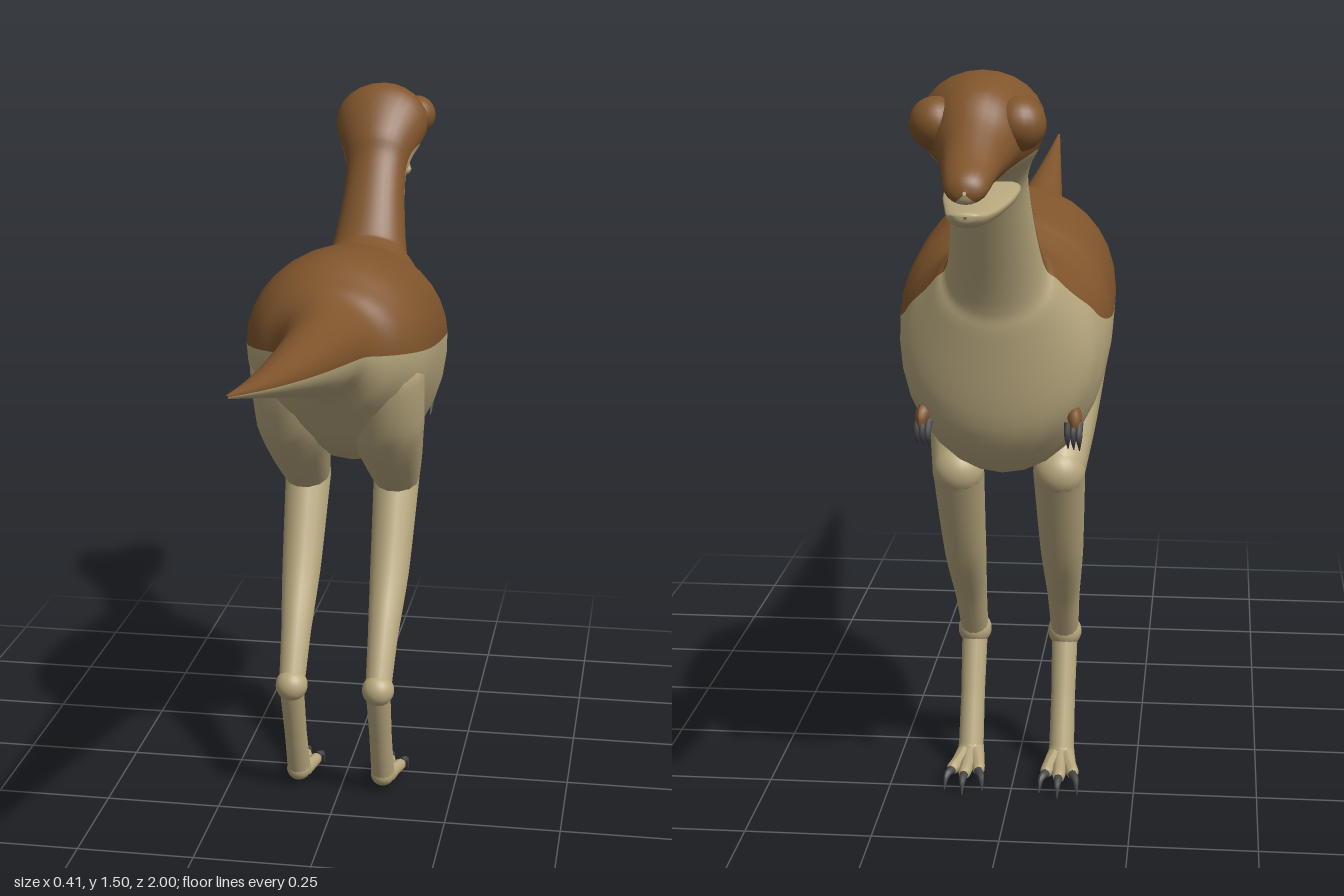
import * as THREE from 'three';

const mat = (name, color) => Object.assign(new THREE.MeshStandardMaterial({ color }), { name });

// Catmull-Rom blend of whole rows of numbers
function smoothRows(rows, steps) {
  const out = [];
  for (let i = 0; i < rows.length - 1; i++) {
    const a = rows[Math.max(i - 1, 0)], b = rows[i], c = rows[i + 1], d = rows[Math.min(i + 2, rows.length - 1)];
    for (let k = 0; k < steps; k++) {
      const t = k / steps;
      out.push(b.map((p, j) => p + 0.5 * t * (c[j] - a[j] + t * (2 * a[j] - 5 * p + 4 * c[j] - d[j] + t * (3 * (p - c[j]) + d[j] - a[j])))));
    }
  }
  out.push(rows[rows.length - 1]);
  return out;
}

// Skin over sections [topZ, topY, bottomZ, bottomY, halfWidth, colour split 0..1, widest height 0..1]
function loft(name, sections, upperMat, lowerMat, half = 16) {
  const rows = smoothRows(sections, 5), n = half * 2, pos = [], idx = [];
  for (const [tz, ty, bz, by, hw, split, wide] of rows) {
    const s = (split - wide) / (split > wide ? 1 - wide : wide);
    const a = Math.asin(THREE.MathUtils.clamp(s, -0.98, 0.98));
    for (let j = 0; j < n; j++) {
      const th = j < half
        ? a + (Math.PI - 2 * a) * j / half
        : Math.PI - a + (Math.PI + 2 * a) * (j - half) / half;
      const f = wide + Math.sin(th) * (Math.sin(th) > 0 ? 1 - wide : wide);
      pos.push(Math.cos(th) * hw, by + (ty - by) * f, bz + (tz - bz) * f);
    }
  }
  const g = new THREE.BufferGeometry();
  for (const start of [0, half]) {
    const first = idx.length;
    for (let i = 0; i < rows.length - 1; i++) {
      for (let j = start; j < start + half; j++) {
        const a = i * n + j, b = i * n + (j + 1) % n;
        idx.push(a, a + n, b, b, a + n, b + n);
      }
    }
    g.addGroup(first, idx.length - first, start ? 1 : 0);
  }
  g.setAttribute('position', new THREE.Float32BufferAttribute(pos, 3));
  g.setIndex(idx);
  g.computeVertexNormals();
  const m = new THREE.Mesh(g, [upperMat, lowerMat]);
  m.name = name;
  return m;
}

// Tube whose radius follows the fourth number of each point
function limb(name, pts, material, segs = 24, sides = 14) {
  const curve = new THREE.CatmullRomCurve3(pts.map(p => new THREE.Vector3(p[0], p[1], p[2])), false, 'centripetal');
  const g = new THREE.TubeGeometry(curve, segs, 1, sides);
  const p = g.attributes.position, v = new THREE.Vector3();
  for (let i = 0; i <= segs; i++) {
    const u = i / segs, c = curve.getPointAt(u);
    const t = curve.getUtoTmapping(u) * (pts.length - 1);
    const k = Math.min(Math.floor(t), pts.length - 2);
    const r = THREE.MathUtils.lerp(pts[k][3], pts[k + 1][3], t - k);
    for (let j = 0; j <= sides; j++) {
      const q = i * (sides + 1) + j;
      v.fromBufferAttribute(p, q).sub(c).multiplyScalar(r).add(c);
      p.setXYZ(q, v.x, v.y, v.z);
    }
  }
  g.computeVertexNormals();
  const m = new THREE.Mesh(g, material);
  m.name = name;
  return m;
}

function ball(name, x, y, z, r, material) {
  const m = new THREE.Mesh(new THREE.SphereGeometry(r, 24, 16), material);
  m.position.set(x, y, z);
  m.name = name;
  return m;
}

export function createModel() {
  const brown = mat('back brown', 0x80552c);
  const cream = mat('belly cream', 0xb8a87e);
  const dark = mat('claw grey', 0x48484a);
  const model = new THREE.Group();
  model.name = 'bipedalDinosaur';

  // Tail sections taper evenly and lift towards the tip
  const tail = [1, 0.75, 0.5, 0.25, 0].map(t => {
    const z = 0.2 + 0.8 * t;
    return [z, 1.145 + 0.058 * t * t, z, 0.995 + 0.202 * t, 0.071 - 0.068 * t, 0.47, 0.5];
  });

  // Trunk, neck and skull sections, from hips to snout
  const trunk = [
    [0.1, 1.15, 0.1, 0.975, 0.087, 0.45, 0.5],
    [0.05, 1.162, 0.05, 0.945, 0.11, 0.46, 0.48],
    [0, 1.186, 0, 0.895, 0.16, 0.5, 0.5],
    [-0.1, 1.224, -0.1, 0.805, 0.195, 0.54, 0.54],
    [-0.3, 1.207, -0.3, 0.723, 0.203, 0.6, 0.6],
    [-0.36, 1.187, -0.4, 0.715, 0.198, 0.63, 0.58],
    [-0.4, 1.173, -0.47, 0.752, 0.188, 0.65, 0.54],
    [-0.43, 1.172, -0.525, 0.83, 0.17, 0.66, 0.5],
    [-0.475, 1.187, -0.558, 1.0, 0.115, 0.57, 0.48],
    [-0.5, 1.212, -0.572, 1.07, 0.086, 0.52, 0.5],
    [-0.595, 1.345, -0.655, 1.235, 0.068, 0.53, 0.5],
    [-0.625, 1.41, -0.69, 1.29, 0.078, 0.52, 0.5],
    [-0.695, 1.49, -0.72, 1.315, 0.103, 0.3, 0.53],
    [-0.75, 1.5, -0.76, 1.322, 0.102, 0.27, 0.5],
    [-0.83, 1.48, -0.83, 1.326, 0.075, 0.17, 0.45],
    [-0.88, 1.433, -0.88, 1.324, 0.056, 0.14, 0.42],
    [-0.94, 1.388, -0.94, 1.323, 0.044, 0.1, 0.45],
    [-0.98, 1.365, -0.98, 1.312, 0.035, 0.1, 0.45],
    [-0.995, 1.35, -0.995, 1.315, 0.021, 0.1, 0.45],
    [-1, 1.334, -1, 1.328, 0.003, 0.1, 0.45],
  ];
  model.add(loft('body', tail.concat(trunk), brown, cream));

  // Lower jaw, slightly open
  model.add(loft('lowerJaw', [
    [-0.685, 1.312, -0.685, 1.308, 0.02, 0.7, 0.7],
    [-0.7, 1.313, -0.7, 1.286, 0.06, 0.7, 0.7],
    [-0.78, 1.307, -0.78, 1.272, 0.062, 0.7, 0.7],
    [-0.88, 1.299, -0.88, 1.266, 0.047, 0.7, 0.7],
    [-0.96, 1.299, -0.96, 1.27, 0.034, 0.7, 0.7],
    [-0.985, 1.299, -0.985, 1.279, 0.021, 0.7, 0.7],
    [-0.99, 1.293, -0.99, 1.288, 0.003, 0.7, 0.7],
  ], cream, cream, 10));

  for (const s of [1, -1]) {
    // The snout points to -z, so the model's left is -x
    const side = s < 0 ? 'left' : 'right';
    model.add(ball(side + 'Eye', s * 0.069, 1.42, -0.81, 0.045, brown));

    // Leg: thigh, shank, ankle and metatarsus
    const leg = new THREE.Group();
    leg.name = side + 'Leg';
    leg.add(limb('thigh', [
      [s * 0.1, 1.07, -0.07, 0.04], [s * 0.1, 0.99, -0.075, 0.085], [s * 0.098, 0.87, -0.12, 0.083],
      [s * 0.1, 0.77, -0.21, 0.066], [s * 0.1, 0.69, -0.295, 0.05]], cream));
    leg.add(ball('knee', s * 0.099, 0.69, -0.295, 0.051, cream));
    leg.add(limb('shank', [
      [s * 0.099, 0.69, -0.295, 0.051], [s * 0.098, 0.5, -0.198, 0.043],
      [s * 0.096, 0.38, -0.117, 0.033], [s * 0.095, 0.275, -0.055, 0.028]], cream));
    leg.add(ball('ankle', s * 0.095, 0.278, -0.055, 0.035, cream));
    leg.add(limb('metatarsus', [
      [s * 0.095, 0.275, -0.055, 0.027], [s * 0.095, 0.15, -0.1, 0.025], [s * 0.095, 0.045, -0.14, 0.026]], cream));
    leg.add(ball('heel', s * 0.095, 0.043, -0.14, 0.027, cream));
    for (const d of [-1, 0, 1]) {
      const x = s * 0.097 + d * 0.027, z = d ? -0.235 : -0.258;
      leg.add(limb('toe', [
        [s * 0.095 + d * 0.006, 0.038, -0.135, 0.021], [s * 0.095 + d * 0.019, 0.033, -0.19, 0.015],
        [x, 0.03, z + 0.008, 0.013], [x, 0.029, z - 0.006, 0.002]], cream, 12, 10));
      leg.add(limb('toeClaw', [
        [x, 0.032, z, 0.009], [x + d * 0.008, 0.029, z - 0.02, 0.007],
        [x + d * 0.012, 0.002, z - 0.034, 0.001]], dark, 8, 8));
    }
    model.add(leg);

    // Small forelimb with curved claws
    const arm = new THREE.Group();
    arm.name = side + 'Arm';
    arm.add(limb('hand', [
      [s * 0.1, 0.865, -0.44, 0.012], [s * 0.132, 0.862, -0.462, 0.013],
      [s * 0.142, 0.845, -0.49, 0.014], [s * 0.142, 0.822, -0.498, 0.006]], brown, 14, 10));
    for (const d of [-1, 0, 1]) {
      const x = s * 0.14 + d * 0.011;
      arm.add(limb('fingerClaw', [
        [x, 0.838, -0.492, 0.007], [x, 0.812, -0.505 + d * 0.006, 0.006],
        [x, 0.785, -0.485 + d * 0.006, 0.001]], dark, 8, 8));
    }
    model.add(arm);
  }
  return model;
}
